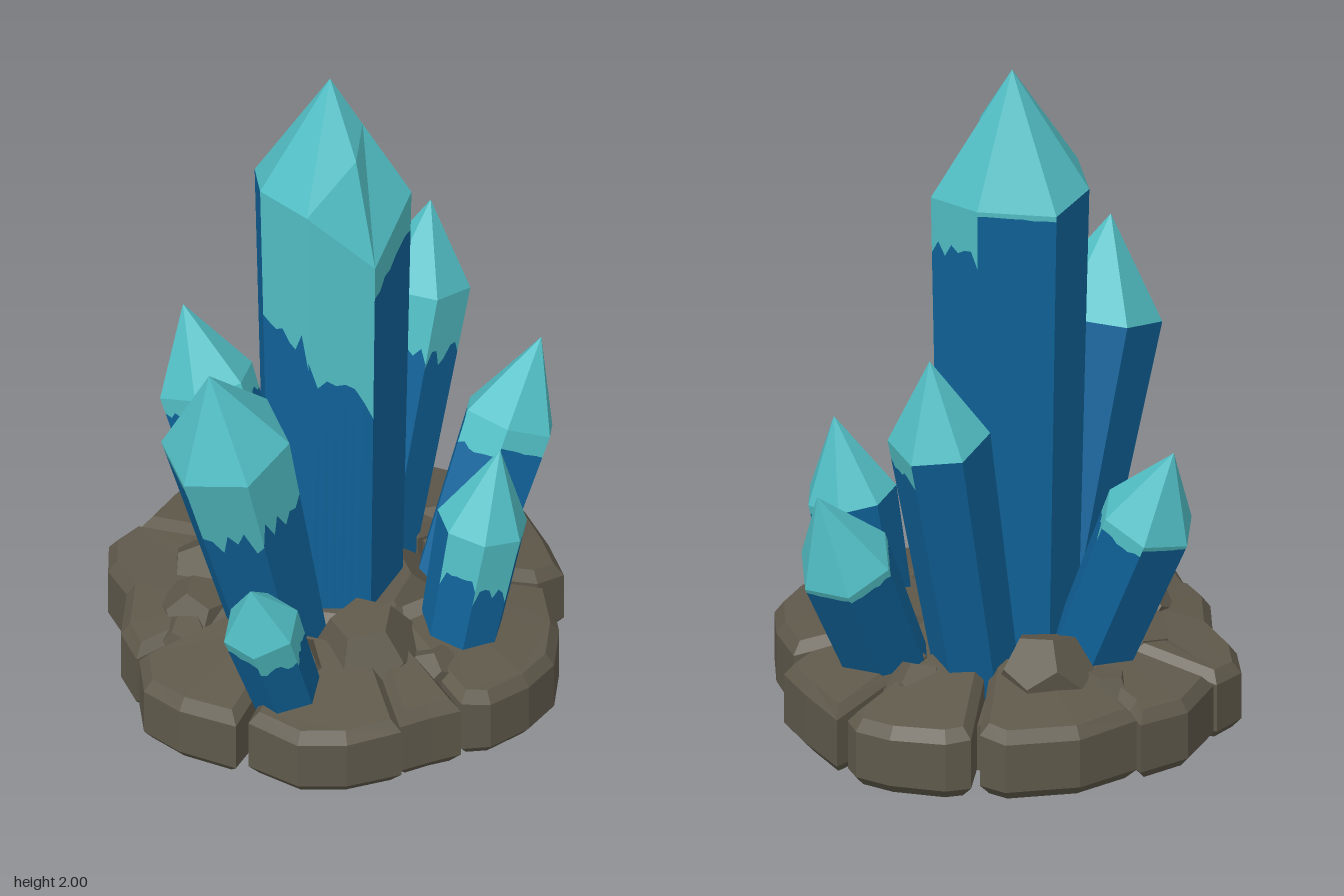
import * as THREE from 'three';

const rock = new THREE.MeshStandardMaterial({ color: 0x5f594b });
rock.name = 'greyBrownRock';
const blue = new THREE.MeshStandardMaterial({ color: 0x10639a });
blue.name = 'deepBlue';
const teal = new THREE.MeshStandardMaterial({ color: 0x52c0c6 });
teal.name = 'paleTeal';
rock.flatShading = blue.flatShading = teal.flatShading = true;

const V = (a) => new THREE.Vector3(...a);

// small seeded random generator
let seed = 7;
const rand = () => (seed = (seed * 16807) % 2147483647) / 2147483647;

function facetMesh(name, tris, material) {
  const g = new THREE.BufferGeometry();
  g.setAttribute('position', new THREE.Float32BufferAttribute(tris.flatMap((p) => [p.x, p.y, p.z]), 3));
  g.computeVertexNormals();
  const m = new THREE.Mesh(g, material);
  m.name = name;
  return m;
}

// Faceted crystal from two rings and a tip; drops = pale share of each side,
// bulge = outward push of the tip edge above each shoulder corner
function crystal(name, low, high, tip, drops, bulge = []) {
  const body = [], cap = [];
  const n = low.length, columns = 7;
  const quad = (out, a, b, c, d) => out.push(a, b, c, a, c, d);
  const centre = high.reduce((s, p) => s.add(p), new THREE.Vector3()).divideScalar(n);
  const mid = high.map((p, i) => p.clone().lerp(tip, 0.6)
    .addScaledVector(p.clone().sub(centre).setY(0).normalize(), bulge[i] || 0));
  for (let i = 0; i < n; i++) {
    const j = (i + 1) % n, d = drops[i];
    // ragged colour border across the side
    const border = Array.from({ length: columns + 1 }, () => d * (0.82 + 0.36 * rand()));
    for (let k = 0; k < columns; k++) {
      const [l0, l1] = [k, k + 1].map((c) => low[i].clone().lerp(low[j], c / columns));
      const [h0, h1] = [k, k + 1].map((c) => high[i].clone().lerp(high[j], c / columns));
      const b0 = h0.clone().lerp(l0, border[k]), b1 = h1.clone().lerp(l1, border[k + 1]);
      quad(body, l0, l1, b1, b0);
      if (d > 0) quad(cap, b0, b1, h1, h0);
    }
    quad(cap, high[i], high[j], mid[j], mid[i]);
    cap.push(mid[i], mid[j], tip);
  }
  const group = new THREE.Group();
  group.name = name;
  group.add(facetMesh('crystalBody', body, blue), facetMesh('crystalTip', cap, teal));
  return group;
}

// Regular ring at right angles to the axis
function ring(centre, axis, r, n, turn) {
  const u = new THREE.Vector3(1, 0, 0);
  u.addScaledVector(axis, -u.dot(axis)).normalize();
  const v = axis.clone().cross(u);
  return Array.from({ length: n }, (_, i) => {
    const a = turn + (i / n) * Math.PI * 2;
    return centre.clone().addScaledVector(u, r * Math.cos(a)).addScaledVector(v, r * Math.sin(a));
  });
}

function leaningCrystal({ name, base, shoulder, tip, r0, r1, turn, drops }) {
  const b = V(base), s = V(shoulder), axis = s.clone().sub(b).normalize(), n = drops.length;
  return crystal(name, ring(b, axis, r0, n, turn), ring(s, axis, r1, n, turn), V(tip), drops);
}

// Bevelled edge slab from its outer outline, rising toward the middle
function slab(outer) {
  const last = outer.length - 1, middle = outer[last >> 1];
  const inner = [outer[last], middle, outer[0]].map(([x, z]) => [x * 0.45, z * 0.45]);
  const shape = new THREE.Shape([...outer, ...inner].map(([x, z]) => new THREE.Vector2(x, -z)));
  const g = new THREE.ExtrudeGeometry(shape, {
    depth: 0.14, bevelThickness: 0.03, bevelSize: 0.025, bevelOffset: -0.025, bevelSegments: 1,
  });
  g.rotateX(-Math.PI / 2).translate(0, 0.045, 0);
  const p = g.attributes.position;
  for (let i = 0; i < p.count; i++) {
    const r = Math.hypot(p.getX(i), p.getZ(i));
    if (p.getY(i) > 0.1) p.setY(i, p.getY(i) + Math.max(0, 0.68 - r) * 0.2);
  }
  g.computeVertexNormals();
  const m = new THREE.Mesh(g, rock);
  m.name = 'edgeSlab';
  return m;
}

function drum(name, rTop, rBottom, y0, y1, sides) {
  const m = new THREE.Mesh(new THREE.CylinderGeometry(rTop, rBottom, y1 - y0, sides), rock);
  m.position.y = (y0 + y1) / 2;
  m.name = name;
  return m;
}

export function createModel() {
  const model = new THREE.Group();
  model.name = 'crystalCluster';

  // rock base
  const base = new THREE.Group();
  base.name = 'rockBase';
  const plate = drum('bottomPlate', 0.36, 0.34, 0, 0.05, 8);
  plate.rotation.y = Math.PI / 8;
  plate.scale.z = 0.88;
  base.add(plate, drum('core', 0.5, 0.5, 0.04, 0.18, 12), drum('mound', 0.2, 0.42, 0.1, 0.29, 9));
  [
    [[-0.58, -0.25], [-0.52, -0.36], [-0.38, -0.46], [-0.32, -0.58], [-0.23, -0.655], [-0.12, -0.645]],
    [[-0.11, -0.64], [0.065, -0.67], [0.215, -0.61], [0.18, -0.55]],
    [[0.2, -0.59], [0.385, -0.52], [0.53, -0.365], [0.53, -0.28]],
    [[0.56, -0.27], [0.615, -0.22], [0.67, -0.07], [0.675, 0.04], [0.64, 0.09]],
    [[0.65, 0.12], [0.57, 0.28], [0.495, 0.4], [0.4, 0.385]],
    [[0.4, 0.43], [0.29, 0.56], [0.17, 0.645], [0.045, 0.66], [-0.09, 0.635], [-0.15, 0.58]],
    [[-0.17, 0.595], [-0.25, 0.555], [-0.34, 0.515]],
    [[-0.35, 0.53], [-0.49, 0.45], [-0.58, 0.345], [-0.6, 0.18]],
    [[-0.63, 0.16], [-0.675, -0.01], [-0.67, -0.145], [-0.58, -0.24]],
  ].forEach((outline) => base.add(slab(outline)));

  // loose boulders between the crystals: x, y, z, radius
  [
    [-0.17, 0.24, 0.25, 0.15], [0.2, 0.25, -0.28, 0.14], [0.24, 0.21, 0.24, 0.12],
    [-0.33, 0.22, -0.24, 0.11], [-0.17, 0.22, -0.33, 0.12], [0.4, 0.2, 0.02, 0.1],
    [-0.09, 0.21, 0.43, 0.08], [-0.36, 0.22, 0.14, 0.11], [0.04, 0.2, 0.27, 0.12],
    [0.13, 0.2, -0.43, 0.09], [-0.43, 0.2, -0.2, 0.08],
  ].forEach(([x, y, z, r]) => {
    const m = new THREE.Mesh(new THREE.DodecahedronGeometry(r), rock);
    m.position.set(x, y, z);
    m.rotation.set(rand() * 3, rand() * 3, rand() * 3);
    m.name = 'boulder';
    base.add(m);
  });
  model.add(base);

  // tall central crystal with an uneven seven-sided shoulder
  const high = [
    [0.225, 1.65, -0.07], [0.095, 1.63, -0.25], [-0.087, 1.64, -0.24], [-0.185, 1.67, -0.135],
    [-0.205, 1.68, 0.055], [-0.076, 1.5, 0.196], [0.15, 1.61, 0.135],
  ].map(V);
  const low = high.map((p) => new THREE.Vector3(p.x * 0.86, 0.1, p.z * 0.86));
  model.add(crystal('mainCrystal', low, high, V([0.01, 2, -0.045]),
    [0.01, 0, 0, 0.3, 0.33, 0.08, 0.1], [0, 0, 0, 0, 0, 0.04, 0]));

  // leaning side crystals
  [
    { name: 'tallRightCrystal', base: [-0.22, 0.1, 0], shoulder: [-0.49, 1.03, 0], tip: [-0.56, 1.305, 0],
      r0: 0.13, r1: 0.185, turn: 0, drops: [0, 0, 0.05, 0.28, 0.25, 0.12] },
    { name: 'smallRightCrystal', base: [-0.4, 0.1, 0.19], shoulder: [-0.57, 0.53, 0.2], tip: [-0.625, 0.69, 0.21],
      r0: 0.095, r1: 0.112, turn: 0.5, drops: [0, 0.05, 0.1, 0.2, 0.22, 0.1] },
    { name: 'frontCrystal', base: [0.05, 0.1, 0.37], shoulder: [0.125, 0.61, 0.42], tip: [0.165, 0.85, 0.45],
      r0: 0.11, r1: 0.13, turn: 0.3, drops: [0, 0, 0, 0.3, 0.35, 0.1, 0.05] },
    { name: 'frontLeftCrystal', base: [0.25, 0.1, 0.17], shoulder: [0.525, 0.62, 0.175], tip: [0.63, 0.855, 0.2],
      r0: 0.12, r1: 0.14, turn: 0.6, drops: [0.05, 0.05, 0.15, 0.1, 0.05, 0.03] },
    { name: 'tallLeftCrystal', base: [0.2, 0.1, -0.07], shoulder: [0.435, 1.04, -0.08], tip: [0.475, 1.29, -0.075],
      r0: 0.115, r1: 0.145, turn: 0, drops: [0, 0, 0.08, 0.2, 0.2, 0.08] },
    { name: 'backCrystal', base: [0, 0.1, -0.24], shoulder: [0, 0.72, -0.495], tip: [0, 0.945, -0.58],
      r0: 0.12, r1: 0.14, turn: Math.PI / 6, drops: [0.02, 0.02, 0.08, 0.1, 0.1, 0.06] },
  ].forEach((c) => model.add(leaningCrystal(c)));

  return model;
}
